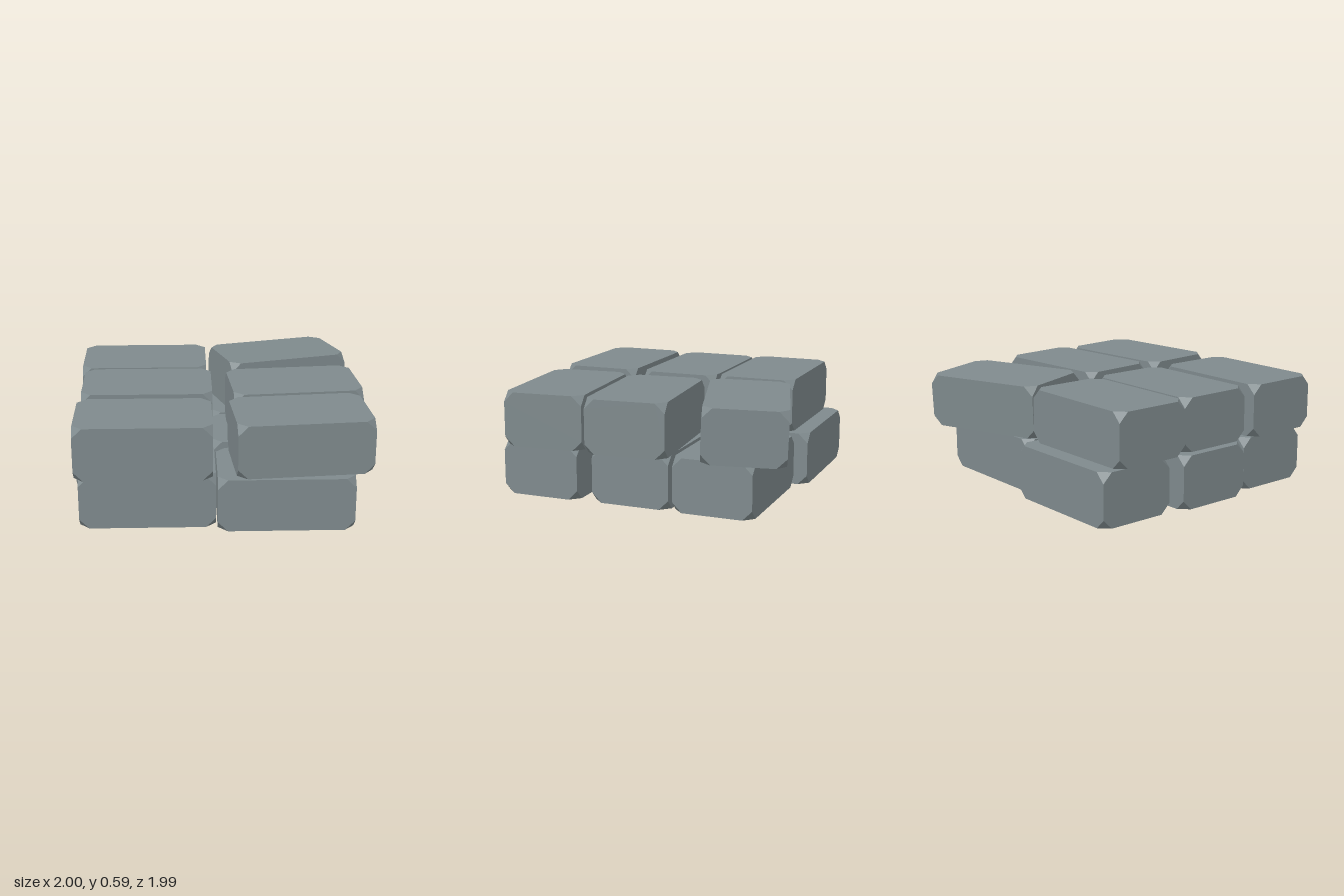
import * as THREE from 'three';
import { ConvexGeometry } from 'three/addons/geometries/ConvexGeometry.js';

const LENGTH = 0.71, HEIGHT = 0.288, WIDTH = 0.43, CUT = 0.052;

// Box with its eight corners cut off: three points around each corner
function cutCornerBox(w, h, d, c) {
  const points = [];
  for (const sx of [-1, 1]) for (const sy of [-1, 1]) for (const sz of [-1, 1]) {
    const x = sx * w / 2, y = sy * h / 2, z = sz * d / 2;
    points.push(
      new THREE.Vector3(x - sx * c, y, z),
      new THREE.Vector3(x, y - sy * c, z),
      new THREE.Vector3(x, y, z - sz * c),
    );
  }
  return new ConvexGeometry(points);
}

// Each brick: x, z, turn in degrees, then optional lean and roll in radians
const lowerLayer = [
  [-0.545, 0.225, 30], [-0.348, -0.222, 30], [-0.07, -0.637, 30],
  [0.05, 0.63, 30], [0.295, 0.18, 30], [0.53, -0.21, 30],
];
const upperLayer = [
  [-0.585, 0.26, 30], [-0.33, -0.16, 30], [-0.125, -0.56, 30],
  [0.14, 0.64, 25.2], [0.375, 0.24, 25.2],
  [0.602, -0.255, 13, -0.035, -0.016], // knocked loose
];

export function createModel() {
  const model = new THREE.Group();
  model.name = 'brickStack';
  const stone = new THREE.MeshStandardMaterial({ color: 0x7f8a8d });
  stone.name = 'greyStone';
  const brick = cutCornerBox(LENGTH, HEIGHT, WIDTH, CUT);

  [['lowerBrick', lowerLayer, 0.144], ['upperBrick', upperLayer, 0.432]].forEach(([name, layer, y]) => {
    const group = new THREE.Group();
    group.name = name + 'Layer';
    layer.forEach(([x, z, turn, lean = 0, roll = 0], i) => {
      const mesh = new THREE.Mesh(brick, stone);
      mesh.name = name + (i + 1);
      mesh.position.set(x, y, z);
      mesh.rotation.set(lean, -THREE.MathUtils.degToRad(turn), roll, 'YXZ');
      group.add(mesh);
    });
    model.add(group);
  });
  return model;
}
